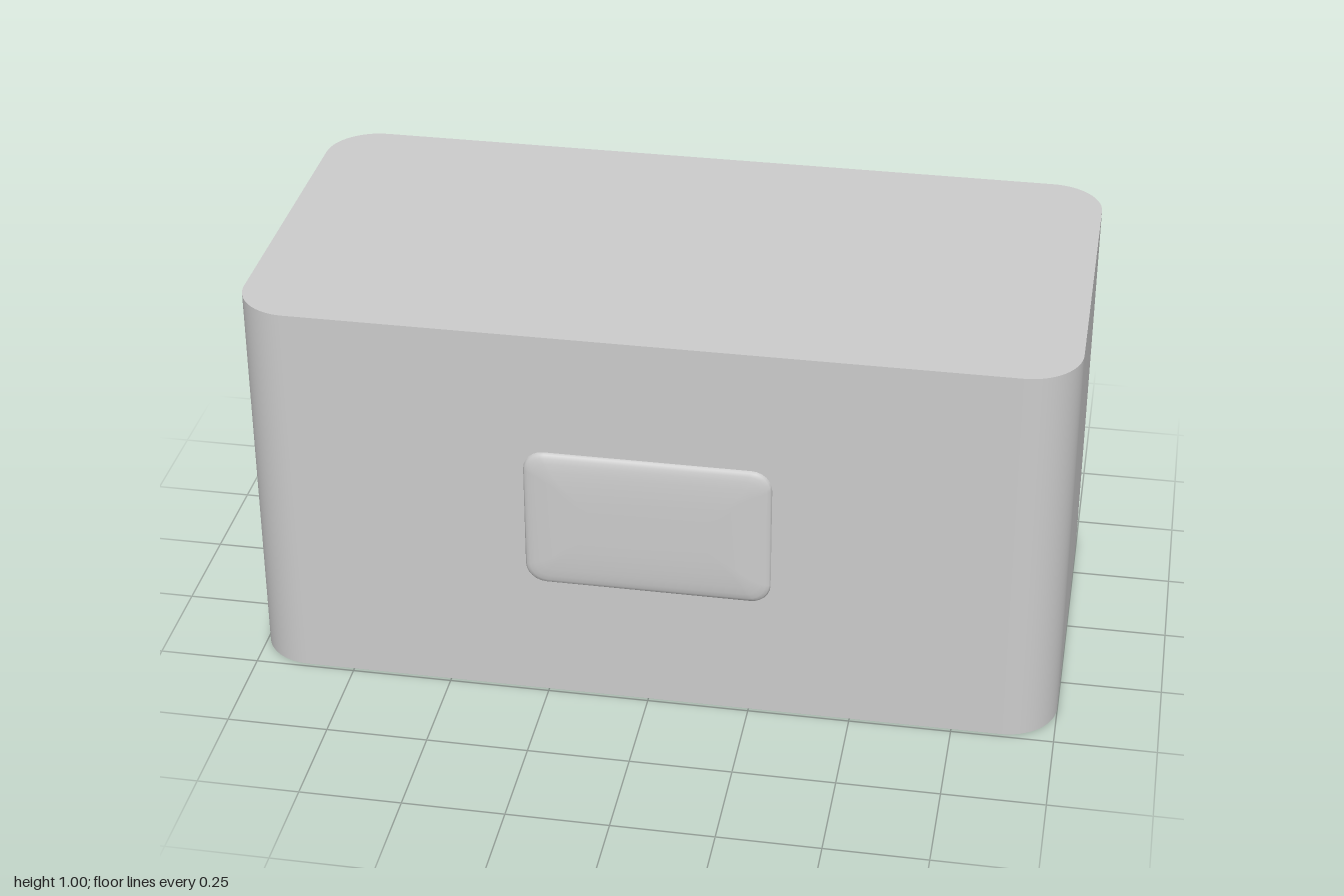
import * as THREE from 'three';
import { toCreasedNormals } from 'three/addons/utils/BufferGeometryUtils.js';

const material = new THREE.MeshStandardMaterial({ color: 0xcccccc });

// Counter-clockwise outline of a rounded rectangle, always 4 * (steps + 1) points.
function roundedOutline(halfW, halfH, radius, steps) {
  const points = [];
  const corners = [[1, 1], [-1, 1], [-1, -1], [1, -1]];
  corners.forEach(([sx, sy], c) => {
    for (let i = 0; i <= steps; i++) {
      const a = (c + i / steps) * Math.PI / 2;
      points.push(new THREE.Vector2(
        sx * (halfW - radius) + radius * Math.cos(a),
        sy * (halfH - radius) + radius * Math.sin(a)));
    }
  });
  return points;
}

// Upright block with rounded vertical corners.
function makeBody() {
  const shape = new THREE.Shape(roundedOutline(1, 0.499, 0.13, 16));
  const geometry = new THREE.ExtrudeGeometry(shape, { depth: 1, bevelEnabled: false });
  geometry.rotateX(-Math.PI / 2).translate(0, 0, -0.009);
  const mesh = new THREE.Mesh(toCreasedNormals(geometry, 0.6), material);
  mesh.name = 'body';
  return mesh;
}

// Softly domed plate: nested rounded outlines that rise towards the middle.
function makeFrontPlate() {
  const profile = [ // inset from the rim, z
    [0, 0.48], [0, 0.49], [0.004, 0.495], [0.012, 0.499], [0.025, 0.502],
    [0.045, 0.5045], [0.075, 0.5065], [0.11, 0.5078], [0.15, 0.508],
  ];
  const positions = [], indices = [];
  let count = 0;
  profile.forEach(([inset, z]) => {
    const ring = roundedOutline(0.3 - inset, 0.184 - inset, Math.max(0.05 - inset * 0.6, 0.012), 6);
    count = ring.length;
    ring.forEach(p => positions.push(p.x, p.y + 0.504, z));
  });
  for (let r = 0; r < profile.length - 1; r++) {
    for (let i = 0; i < count; i++) {
      const a = r * count + i, b = r * count + (i + 1) % count;
      indices.push(a, b, b + count, a, b + count, a + count);
    }
  }
  // Flat centre
  const centre = positions.length / 3, last = (profile.length - 1) * count;
  positions.push(0, 0.504, 0.508);
  for (let i = 0; i < count; i++) indices.push(last + i, last + (i + 1) % count, centre);

  const geometry = new THREE.BufferGeometry();
  geometry.setAttribute('position', new THREE.Float32BufferAttribute(positions, 3));
  geometry.setIndex(indices);
  geometry.computeVertexNormals();
  const mesh = new THREE.Mesh(geometry, material);
  mesh.name = 'frontPlate';
  return mesh;
}

export function createModel() {
  const group = new THREE.Group();
  group.name = 'roundedBox';
  group.add(makeBody(), makeFrontPlate());
  return group;
}
